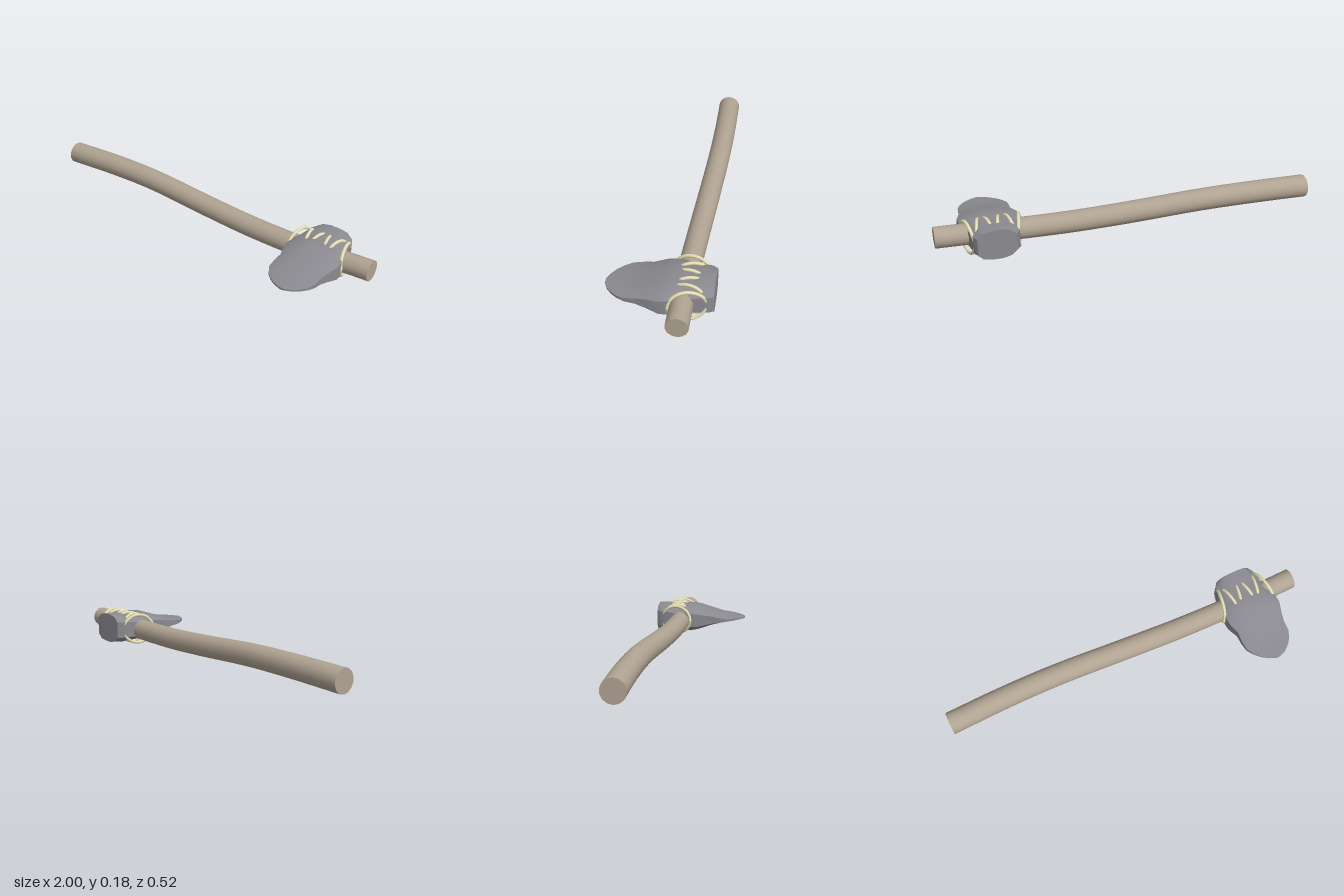
import * as THREE from 'three';
import { toCreasedNormals } from 'three/addons/utils/BufferGeometryUtils.js';

// Skin a row of closed rings (counter-clockwise seen from the far end) and cap both ends
function loft(rings, crease) {
  const pos = [];
  const tri = (...pts) => pts.forEach((p) => pos.push(p.x, p.y, p.z));
  const n = rings[0].length;
  for (let r = 0; r < rings.length - 1; r++) {
    const a = rings[r], b = rings[r + 1];
    for (let i = 0; i < n; i++) {
      const j = (i + 1) % n;
      tri(a[i], a[j], b[j]);
      tri(a[i], b[j], b[i]);
    }
  }
  const middle = (ring) => ring.reduce((s, p) => s.add(p), new THREE.Vector3()).divideScalar(n);
  const first = rings[0], last = rings[rings.length - 1];
  const c0 = middle(first), c1 = middle(last);
  for (let i = 0; i < n; i++) {
    const j = (i + 1) % n;
    tri(c0, first[j], first[i]);
    tri(c1, last[i], last[j]);
  }
  const g = new THREE.BufferGeometry();
  g.setAttribute('position', new THREE.Float32BufferAttribute(pos, 3));
  return toCreasedNormals(g, crease);
}

function part(name, geometry, color) {
  const mesh = new THREE.Mesh(geometry, new THREE.MeshStandardMaterial({ color }));
  mesh.name = name;
  return mesh;
}

// Gently bent, slightly tapering branch
function handleGeometry() {
  const path = new THREE.CatmullRomCurve3([
    [-1, 0.095, -0.165], [-0.7, 0.106, -0.168], [-0.4, 0.107, -0.163], [0, 0.087, -0.143],
    [0.3, 0.077, -0.127], [0.6, 0.081, -0.116], [0.8, 0.091, -0.115], [1, 0.1, -0.115],
  ].map((p) => new THREE.Vector3(...p)));
  const rings = [];
  for (let s = 0; s <= 28; s++) {
    const c = path.getPoint(s / 28);
    const r = THREE.MathUtils.lerp(0.061, 0.054, s / 28);
    rings.push(Array.from({ length: 14 }, (_, i) => {
      const a = (i / 14) * Math.PI * 2;
      return new THREE.Vector3(c.x, c.y + r * Math.cos(a), c.z + r * Math.sin(a));
    }));
  }
  return loft(rings, 0.9);
}

// Chipped stone: z, left x, right x, bottom y, top y
function headGeometry() {
  const stations = [
    [-0.26, 0.615, 0.81, 0.007, 0.171], [-0.235, 0.596, 0.825, 0.006, 0.171],
    [-0.2, 0.588, 0.83, 0.008, 0.169], [-0.15, 0.578, 0.84, 0.012, 0.164],
    [-0.1, 0.567, 0.858, 0.011, 0.167], [-0.05, 0.563, 0.868, 0.013, 0.165],
    [-0.01, 0.565, 0.871, 0.02, 0.156], [0.05, 0.584, 0.853, 0.042, 0.137],
    [0.1, 0.581, 0.843, 0.06, 0.121], [0.15, 0.585, 0.841, 0.072, 0.109],
    [0.19, 0.608, 0.825, 0.078, 0.103], [0.22, 0.637, 0.802, 0.081, 0.1],
    [0.245, 0.672, 0.772, 0.083, 0.097], [0.26, 0.708, 0.735, 0.084, 0.096],
  ];
  const half = [[1, -0.55], [1, 0.55], [0.72, 0.88], [0.25, 1]];
  const outline = [...half, ...half.map(([x, y]) => [-x, -y])];
  outline.splice(4, 0, [-0.25, 1], [-0.72, 0.88]);
  outline.push([0.25, -1], [0.72, -0.88]);
  // the mirrored half runs side, side, lower bevel, underside
  const rings = stations.map(([z, x0, x1, y0, y1], k) => outline.map(([u, v], i) => {
    const chip = 1 - 0.035 * Math.abs(Math.sin(k * 2.3 + i * 1.7));
    return new THREE.Vector3((x0 + x1) / 2 + u * (x1 - x0) / 2, (y0 + y1) / 2 + v * chip * (y1 - y0) / 2, z);
  }));
  return loft(rings, 0.5);
}

// Cord wound three turns; two opposite windings make the zigzag
function cordGeometry(direction) {
  const points = [];
  const turns = 3, steps = 24;
  for (let i = 0; i <= turns * steps; i++) {
    const a = (i / steps) * Math.PI * 2;
    points.push(new THREE.Vector3(
      0.555 + 0.104 * (i / steps),
      0.0885 + direction * 0.0795 * Math.sin(a),
      -0.14 + 0.087 * Math.cos(a)));
  }
  return new THREE.TubeGeometry(new THREE.CatmullRomCurve3(points), 144, 0.0085, 8);
}

export function createModel() {
  const group = new THREE.Group();
  group.name = 'stoneAxe';
  group.add(part('handle', handleGeometry(), 0xb0a392));
  group.add(part('stoneHead', headGeometry(), 0x8b8a90));

  const binding = new THREE.Group();
  binding.name = 'binding';
  for (const direction of [1, -1]) {
    binding.add(part(direction > 0 ? 'cordOver' : 'cordUnder', cordGeometry(direction), 0xe6dfb5));
  }
  // round the cut ends of the cord
  for (const x of [0.555, 0.867]) {
    const knot = part('cordEnd', new THREE.SphereGeometry(0.0085, 10, 8), 0xe6dfb5);
    knot.position.set(x, 0.0885, -0.053);
    binding.add(knot);
  }
  group.add(binding);
  return group;
}
